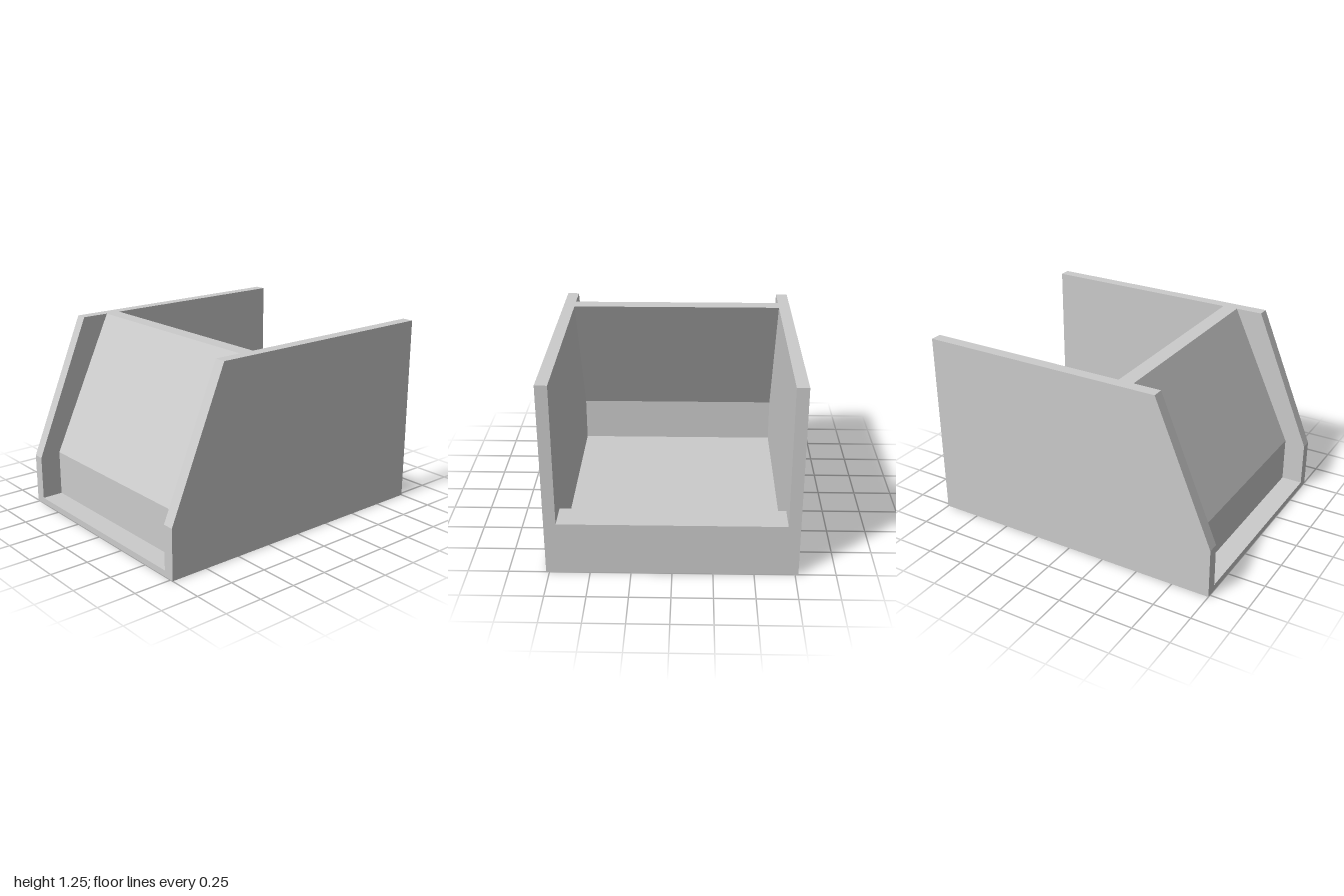
import * as THREE from 'three';

const HALF_WIDTH = 0.77, WALL = 0.075, HEIGHT = 1.245;
const material = new THREE.MeshStandardMaterial({ color: 0xcccccc, flatShading: true });

// Extrudes a (z, y) side profile across x, centred on the given x
function slab(name, profile, width, x) {
  const shape = new THREE.Shape(profile.map(([z, y]) => new THREE.Vector2(z, y)));
  const geometry = new THREE.ExtrudeGeometry(shape, { depth: width, bevelEnabled: false });
  geometry.translate(0, 0, -width / 2).rotateY(-Math.PI / 2);
  const mesh = new THREE.Mesh(geometry, material);
  mesh.name = name;
  mesh.position.x = x;
  return mesh;
}

export function createModel() {
  const model = new THREE.Group();
  model.name = 'openBin';

  // Side walls with a sloped front edge
  const side = [[1, 0], [1, 0.33], [0.615, HEIGHT], [-1, HEIGHT], [-1, 0]];
  for (const [name, s] of [['leftWall', 1], ['rightWall', -1]])
    model.add(slab(name, side, WALL, s * (HALF_WIDTH - WALL / 2)));

  // Floor, raised back sill and recessed sloping front panel in one profile
  const body = [
    [-1, 0], [1, 0], [1, 0.04],
    [0.86, 0.04], [0.86, 0.34], [0.435, HEIGHT],  // outside of the front panel
    [0.335, HEIGHT], [0.764, 0.34], [0.764, 0.04], // inside of the front panel
    [-0.815, 0.04], [-0.815, 0.34], [-1, 0.34],   // back sill
  ];
  model.add(slab('floorSillAndFrontPanel', body, 2 * (HALF_WIDTH - WALL), 0));

  return model;
}
